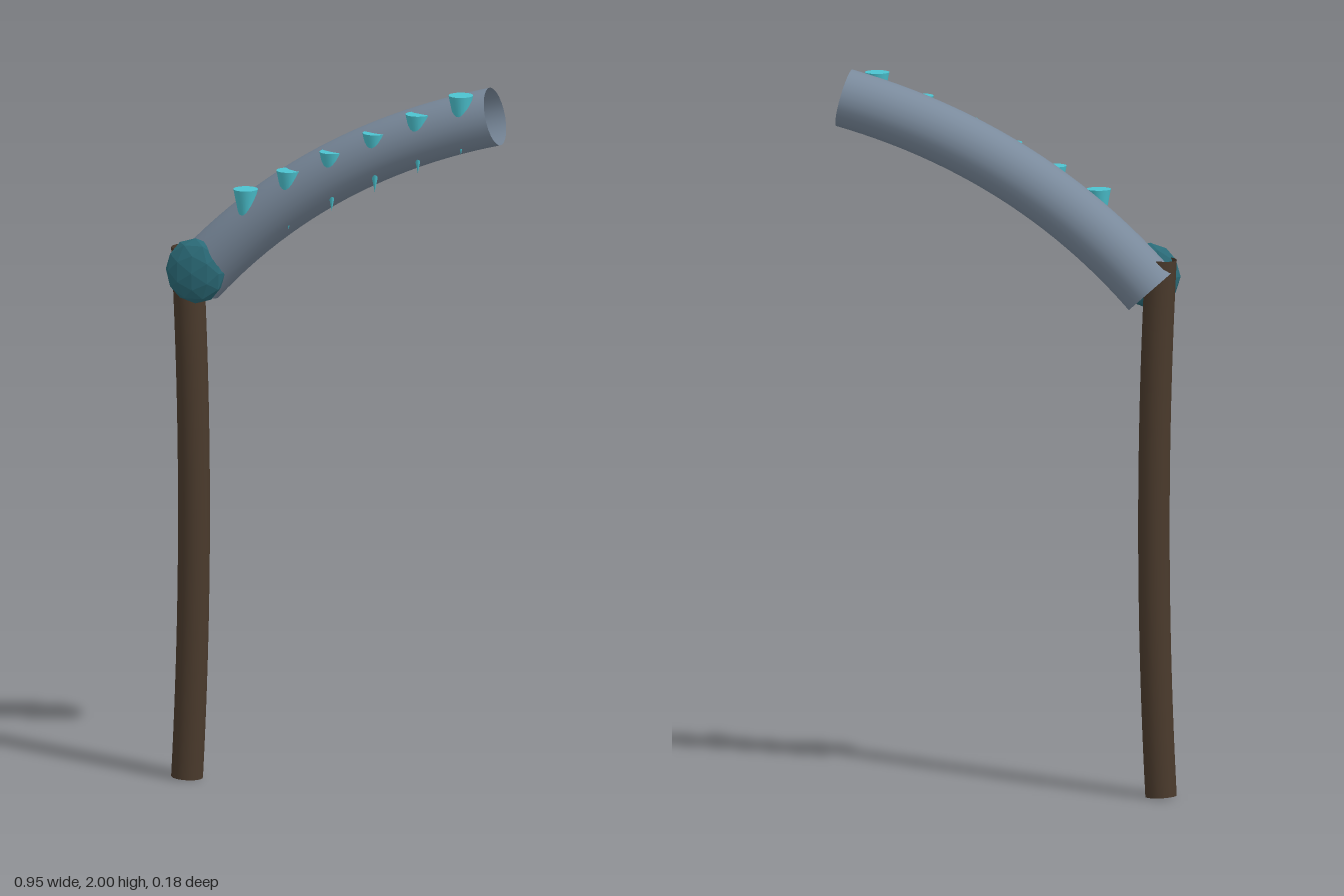
import * as THREE from 'three';

const V = (x, y, z) => new THREE.Vector3(x, y, z);

export function createModel() {
  const group = new THREE.Group();
  const material = (color, extra = {}) => new THREE.MeshStandardMaterial({ color, ...extra });
  const add = (name, geometry, mat, parent = group) => {
    const mesh = new THREE.Mesh(geometry, mat);
    mesh.name = name;
    parent.add(mesh);
    return mesh;
  };

  // Slightly bowed wooden shaft, open at both ends
  const shaftPath = new THREE.QuadraticBezierCurve3(V(-0.434, 0.002, 0), V(-0.394, 0.75, 0), V(-0.434, 1.498, 0));
  add('shaft', new THREE.TubeGeometry(shaftPath, 24, 0.044, 16, false),
    material(0x4a3a2c, { side: THREE.DoubleSide }));

  // Curved hollow head
  const headPath = new THREE.QuadraticBezierCurve3(V(-0.408, 1.41, -0.01), V(-0.069, 1.788, -0.01), V(0.45, 1.922, -0.01));
  add('head', new THREE.TubeGeometry(headPath, 24, 0.081, 24, false),
    material(0x7a8a9c, { side: THREE.DoubleSide }));

  // Faceted gem over the joint, flattened front to back
  const gem = add('jointGem', new THREE.IcosahedronGeometry(0.092, 1),
    material(0x2b6b78, { flatShading: true }));
  gem.scale.set(0.93, 1, 0.43);
  gem.position.set(-0.394, 1.442, 0.05);

  // Row of spikes, points down, rising along the head
  const spikes = new THREE.Group();
  spikes.name = 'spikes';
  group.add(spikes);
  const height = 0.167;
  const spikeGeometry = new THREE.ConeGeometry(0.034, height, 20).rotateX(Math.PI);
  const spikeMaterial = material(0x4cc3d0);
  for (let i = 0; i < 6; i++) {
    const spike = add('spike', spikeGeometry, spikeMaterial, spikes);
    spike.position.set(-0.252 + i * 0.124, 1.681 + i * 0.0613 - height / 2, 0.042);
  }
  return group;
}
